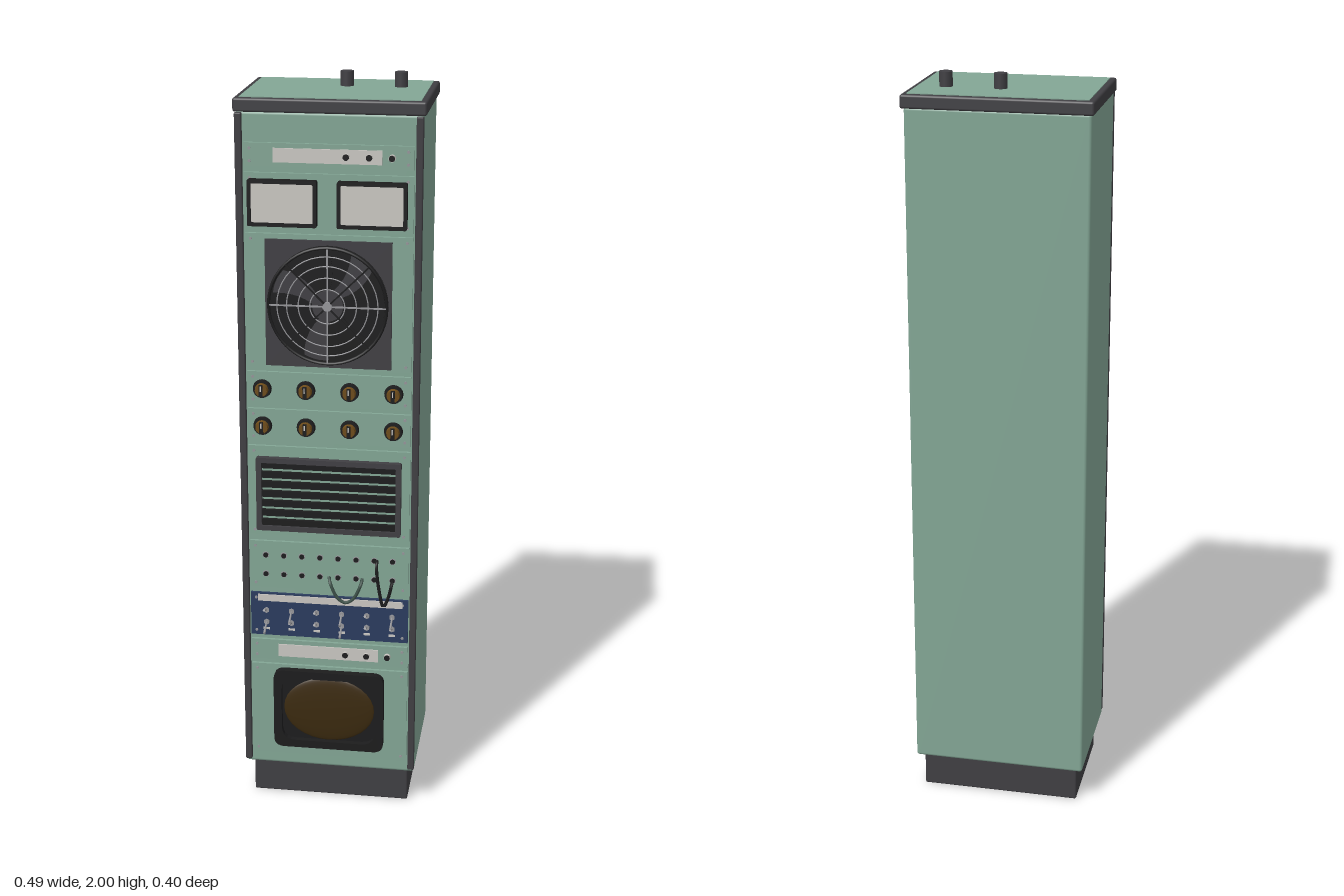
import * as THREE from 'three';
import { RoundedBoxGeometry } from 'three/addons/geometries/RoundedBoxGeometry.js';

const mat = (name, color) => Object.assign(new THREE.MeshStandardMaterial({ color }), { name });

export function createModel() {
  const green = mat('cabinet green', 0x83a695);
  const dark = mat('dark trim', 0x403f43);
  const black = mat('black', 0x1c1c1d);
  const light = mat('pale face', 0xcac7c2);
  const blue = mat('panel blue', 0x2b3c5e);
  const brown = mat('screen brown', 0x3b2a0f);
  const brass = mat('brass', 0x6e4c1a);
  const metal = mat('metal', 0x96969a);
  const cableGreen = mat('cable green', 0x3d5149);

  const root = new THREE.Group();
  root.name = 'equipmentRack';
  const F = 0.157; // front surface of the panels

  const add = (name, geo, material, x, y, z, parent = root) => {
    const m = new THREE.Mesh(geo, material);
    m.name = name;
    m.position.set(x, y, z);
    parent.add(m);
    return m;
  };
  const box = (name, material, x0, x1, y0, y1, z0, z1, r = 0) => {
    const w = x1 - x0, h = y1 - y0, d = z1 - z0;
    const geo = r ? new RoundedBoxGeometry(w, h, d, 2, r) : new THREE.BoxGeometry(w, h, d);
    return add(name, geo, material, (x0 + x1) / 2, (y0 + y1) / 2, (z0 + z1) / 2);
  };
  // cylinder pointing out of the front, from z0 to z1
  const stud = (name, material, x, y, r, z0, z1, sides = 16, rFront = r) =>
    add(name, new THREE.CylinderGeometry(rFront, r, z1 - z0, sides).rotateX(Math.PI / 2),
      material, x, y, (z0 + z1) / 2);
  const roundRect = (w, h, r, Type = THREE.Shape) => {
    const s = new Type(), a = w / 2, b = h / 2;
    s.moveTo(-a + r, -b);
    s.lineTo(a - r, -b); s.quadraticCurveTo(a, -b, a, -b + r);
    s.lineTo(a, b - r); s.quadraticCurveTo(a, b, a - r, b);
    s.lineTo(-a + r, b); s.quadraticCurveTo(-a, b, -a, b - r);
    s.lineTo(-a, -b + r); s.quadraticCurveTo(-a, -b, -a + r, -b);
    return s;
  };
  // open frame with a hole, standing on the front from z0
  const frame = (name, material, x, y, w, h, border, z0, depth, r, ri = r) => {
    const s = roundRect(w, h, r);
    s.holes.push(roundRect(w - 2 * border, h - 2 * border, ri, THREE.Path));
    add(name, new THREE.ExtrudeGeometry(s, { depth, bevelEnabled: false, curveSegments: 5 }), material, x, y, z0);
  };
  const panel = (name, y0, y1, material = green) => {
    box(name, material, -0.215, 0.215, y0, y1, 0.145, F);
    for (const x of [-0.2, 0.2]) for (const y of [y0 + 0.014, y1 - 0.014])
      stud('panelScrew', metal, x, y, 0.004, F, F + 0.002, 8);
  };

  // Cabinet, plinth, rails and top cap
  box('plinth', dark, -0.217, 0.217, 0, 0.106, -0.172, 0.13, 0.005);
  box('cabinetBody', green, -0.236, 0.236, 0.1, 1.928, -0.193, 0.149, 0.008);
  for (const s of [-1, 1])
    box('frontRail', dark, s * 0.228 - 0.009, s * 0.228 + 0.009, 0.112, 1.925, 0.144, 0.16, 0.003);
  box('topCap', dark, -0.243, 0.243, 1.925, 1.96, -0.203, 0.15, 0.006);
  box('topPlate', green, -0.228, 0.228, 1.955, 1.962, -0.188, 0.135);
  for (const x of [0.015, 0.155])
    add('cablePipe', new THREE.CylinderGeometry(0.017, 0.017, 0.045, 20), dark, x, 1.9775, -0.075);

  // Two slim panels with a pale strip and buttons
  for (const y of [1.822, 0.456]) {
    panel('stripPanel', y - 0.03, y + 0.03);
    box('paleStrip', light, -0.14, 0.135, y - 0.018, y + 0.018, F, F + 0.003);
    for (const x of [0.045, 0.103, 0.16]) {
      stud('buttonCollar', light, x, y, 0.009, F, 0.166);
      stud('button', black, x, y, 0.008, 0.166, 0.168);
    }
  }

  // Twin meters
  panel('meterPanel', 1.632, 1.777);
  for (const x of [-0.116, 0.112]) {
    frame('meterBezel', black, x, 1.703, 0.176, 0.118, 0.009, F, 0.021, 0.004);
    box('meterFace', light, x - 0.08, x + 0.08, 1.651, 1.755, F, 0.172);
  }

  // Fan with blades and wire guard
  const fanY = 1.442;
  panel('fanPanel', 1.268, 1.622);
  box('fanPlate', dark, -0.163, 0.163, fanY - 0.167, fanY + 0.167, F, 0.163);
  stud('fanWell', black, 0, fanY, 0.155, 0.163, 0.165, 40);
  stud('fanHub', dark, 0, fanY, 0.04, 0.165, 0.176, 24);
  for (let i = 0; i < 7; i++) {
    const s = new THREE.Shape();
    s.moveTo(0.035, -0.012);
    s.quadraticCurveTo(0.09, -0.045, 0.142, -0.03);
    s.quadraticCurveTo(0.152, 0.005, 0.14, 0.035);
    s.quadraticCurveTo(0.09, 0.005, 0.035, 0.014);
    const blade = add('fanBlade', new THREE.ExtrudeGeometry(s, { depth: 0.003, bevelEnabled: false, curveSegments: 5 }),
      i % 2 ? dark : black, 0, fanY, 0.167);
    blade.rotation.z = i * Math.PI * 2 / 7;
  }
  for (const r of [0.045, 0.075, 0.105, 0.13])
    add('guardRing', new THREE.TorusGeometry(r, 0.0016, 6, 40), metal, 0, fanY, 0.18);
  add('guardRim', new THREE.TorusGeometry(0.152, 0.004, 6, 48), black, 0, fanY, 0.178);
  for (let i = 0; i < 4; i++) {
    const spoke = add('guardSpoke', new THREE.BoxGeometry(0.3, 0.004, 0.003), i % 2 ? black : metal, 0, fanY, 0.181);
    spoke.rotation.z = i * Math.PI / 4;
  }
  stud('guardCentre', metal, 0, fanY, 0.012, 0.176, 0.184);

  // Two rows of control knobs
  for (const y of [1.209, 1.107]) {
    panel('knobPanel', y - 0.044, y + 0.046);
    for (const x of [-0.175, -0.06, 0.055, 0.17]) {
      stud('knobSkirt', black, x, y, 0.025, F, 0.168, 24, 0.023);
      stud('knobBody', brass, x, y, 0.018, 0.168, 0.18, 20, 0.016);
      box('knobGrip', black, x - 0.005, x + 0.005, y - 0.016, y + 0.016, 0.178, 0.185);
      box('knobMark', light, x - 0.0015, x + 0.0015, y, y + 0.014, 0.185, 0.187);
    }
  }

  // Louvred vent
  panel('ventPanel', 0.797, 1.05);
  frame('ventFrame', dark, 0, 0.918, 0.386, 0.206, 0.014, F, 0.016, 0.005, 0.002);
  for (let i = 0; i < 7; i++) {
    const y = 0.837 + i * 0.027;
    box('ventSlat', black, -0.18, 0.18, y - 0.0085, y + 0.0085, F, 0.168);
  }

  // Jack field and hanging patch leads
  panel('jackPanel', 0.642, 0.778);
  for (let i = 0; i < 8; i++) for (const y of [0.738, 0.683]) {
    const x = -0.172 + i * 0.0491;
    stud('jackRing', metal, x, y, 0.009, F, F + 0.002, 12);
    stud('jackSocket', black, x, y, 0.007, F, F + 0.004, 12);
  }
  const lead = (material, pts) => add('patchLead', new THREE.TubeGeometry(
    new THREE.CatmullRomCurve3(pts.map(p => new THREE.Vector3(...p))), 28, 0.0045, 7), material, 0, 0, 0);
  lead(cableGreen, [[0, 0.683, F], [0.005, 0.672, 0.172], [0.025, 0.63, 0.173], [0.047, 0.617, 0.173],
    [0.068, 0.63, 0.173], [0.088, 0.672, 0.172], [0.09, 0.683, F]]);
  lead(black, [[0.13, 0.738, F], [0.13, 0.73, 0.173], [0.136, 0.67, 0.174], [0.15, 0.612, 0.174],
    [0.163, 0.64, 0.174], [0.171, 0.675, 0.172], [0.172, 0.683, F]]);

  // Blue switch panel with toggles
  panel('switchPanel', 0.5, 0.625, blue);
  box('switchLabelStrip', light, -0.195, 0.2, 0.602, 0.621, F, F + 0.003);
  for (let i = 0; i < 6; i++) {
    const x = -0.172 + i * 0.0688;
    for (const [y, tilt] of [[0.575, i % 2 ? 0.4 : -0.4], [0.54, i % 3 ? -0.4 : 0.4]]) {
      stud('toggleNut', metal, x, y, 0.008, F, 0.162, 6);
      const lever = add('toggleLever', new THREE.CylinderGeometry(0.0035, 0.002, 0.043, 8).rotateX(Math.PI / 2)
        .translate(0, 0, 0.0215), metal, x, y, 0.159);
      lever.rotation.x = tilt;
    }
    box('switchLabel', light, x - 0.009, x + 0.009, 0.517, 0.523, F, F + 0.002);
  }

  // Monitor with rounded bezel and bulging screen
  const scrY = 0.286;
  panel('monitorPanel', 0.138, 0.412);
  frame('monitorBezel', black, 0, scrY, 0.304, 0.234, 0.022, F, 0.02, 0.028, 0.04);
  box('screenSurround', black, -0.14, 0.14, scrY - 0.1, scrY + 0.1, F, 0.162);
  const glass = add('screenGlass', new THREE.SphereGeometry(1, 32, 10, 0, Math.PI * 2, 0, Math.PI / 2)
    .rotateX(Math.PI / 2), brown, 0, scrY, 0.1615);
  glass.scale.set(0.126, 0.096, 0.01);

  return root;
}
